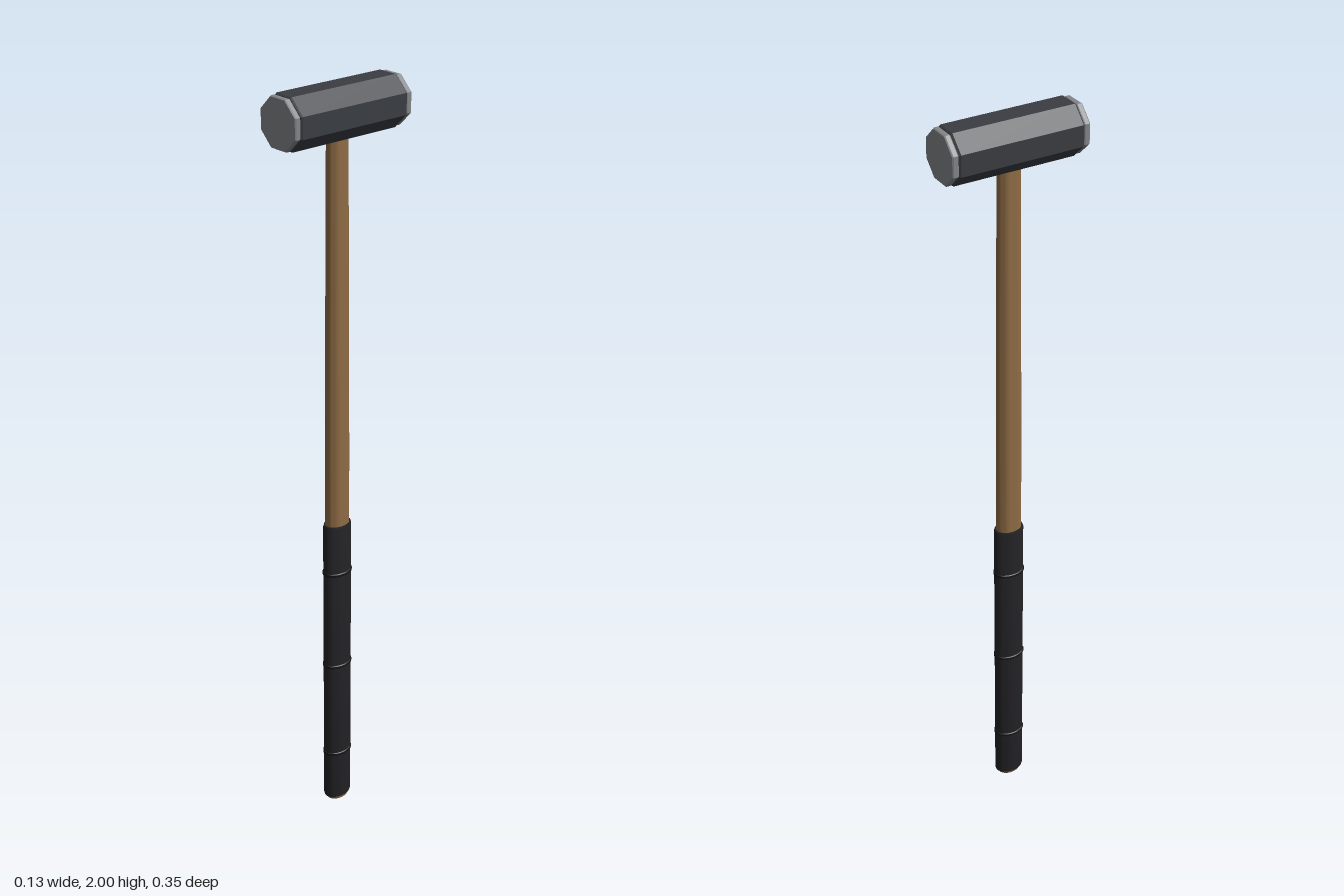
import * as THREE from 'three';
import { toCreasedNormals } from 'three/addons/utils/BufferGeometryUtils.js';

const wood = new THREE.MeshStandardMaterial({ color: 0x8f6c45 });
const rubber = new THREE.MeshStandardMaterial({ color: 0x232326 });
const ridgeRubber = new THREE.MeshStandardMaterial({ color: 0x151517 });
const darkSteel = new THREE.MeshStandardMaterial({ color: 0x3a3d42, flatShading: true });
const bareSteel = new THREE.MeshStandardMaterial({ color: 0x838588, flatShading: true });

const toPoints = (pairs) => pairs.map(([r, y]) => new THREE.Vector2(r, y));

// Oval turned part: profile radii are half-depths (z), squeezed in x
function ovalPart(name, pairs, squeeze, material) {
  const geometry = new THREE.LatheGeometry(toPoints(pairs), 24);
  geometry.scale(squeeze, 1, 1);
  const mesh = new THREE.Mesh(toCreasedNormals(geometry, 0.6), material);
  mesh.name = name;
  return mesh;
}

// Octagonal part along z: profile radii are distances to the flats
function octagonPart(name, pairs, material) {
  const k = 1 / Math.cos(Math.PI / 8);
  const points = toPoints(pairs.map(([r, y]) => [r * k, y]));
  const geometry = new THREE.LatheGeometry(points, 8, Math.PI / 8);
  geometry.rotateX(Math.PI / 2);
  geometry.scale(1, 0.97, 1);
  const mesh = new THREE.Mesh(geometry, material);
  mesh.name = name;
  return mesh;
}

export function createModel() {
  const model = new THREE.Group();
  model.name = 'sledgehammer';

  // Tapered wooden shaft
  model.add(ovalPart('handle', [
    [0, 0], [0.031, 0], [0.036, 0.008], [0.036, 0.5], [0.034, 1.1], [0.032, 1.5], [0.029, 1.92], [0, 1.92],
  ], 0.73, wood));

  // Rubber grip sleeve with three thin ridges
  model.add(ovalPart('grip', [
    [0.034, 0.01], [0.039, 0.01], [0.041, 0.016], [0.041, 0.855], [0.039, 0.862], [0.033, 0.862],
  ], 0.69, rubber));
  for (const y of [0.155, 0.438, 0.72]) {
    model.add(ovalPart('gripRidge', [
      [0.04, y - 0.005], [0.043, y - 0.003], [0.043, y + 0.003], [0.04, y + 0.005],
    ], 0.71, ridgeRubber));
  }

  // Octagonal head with bevelled ends
  const head = new THREE.Group();
  head.name = 'head';
  head.position.y = 1.937;
  head.add(octagonPart('headBody', [
    [0, -0.16], [0.062, -0.16], [0.065, -0.156], [0.065, 0.156], [0.062, 0.16], [0, 0.16],
  ], darkSteel));

  // Striking faces at both ends, set off by a narrow groove
  for (const side of [-1, 1]) {
    const z = side * 0.168;
    head.add(octagonPart('strikingFace', [
      [0, z - 0.008], [0.06, z - 0.008], [0.062, z - 0.005],
      [0.062, z + 0.005], [0.06, z + 0.008], [0, z + 0.008],
    ], bareSteel));
  }
  model.add(head);
  return model;
}
